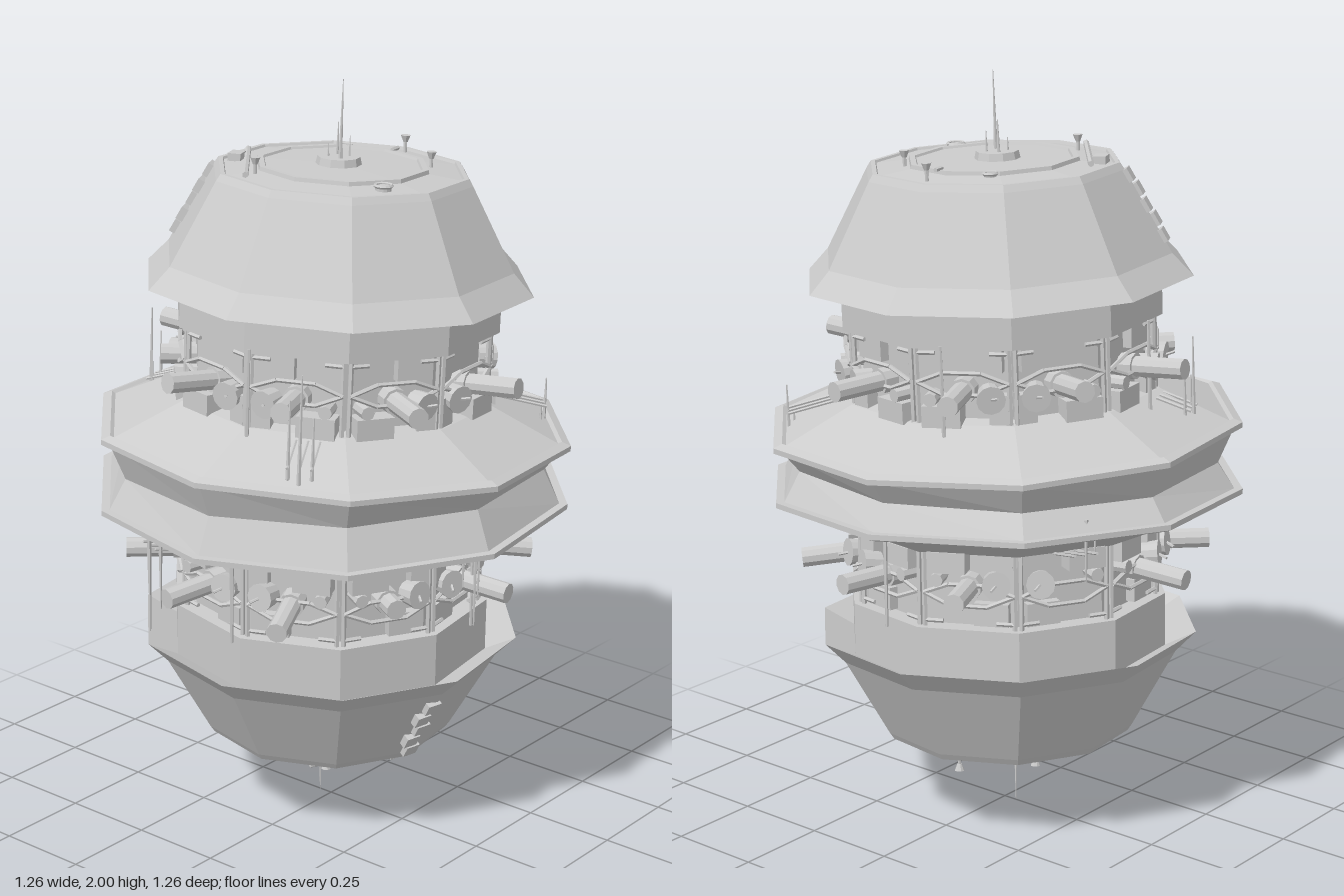
import * as THREE from 'three';

const mat = new THREE.MeshStandardMaterial({ color: 0xcccccc, flatShading: true, side: THREE.DoubleSide });
const RAD = Math.PI / 180, SIDES = 10, CORNER = -7.4;
const HALF_TILT = new THREE.Euler(0.026, 0, -0.027);

function add(parent, name, geo, x = 0, y = 0, z = 0) {
  const m = new THREE.Mesh(geo, mat);
  m.name = name;
  m.position.set(x, y, z);
  parent.add(m);
  return m;
}
const box = (w, h, d) => new THREE.BoxGeometry(w, h, d);
const cyl = (r1, r2, h, n = 10) => new THREE.CylinderGeometry(r1, r2, h, n);

// Ten-sided shell turned from [radius, height] points, listed bottom to top
const shell = (pts) => new THREE.LatheGeometry(
  pts.map(([r, y]) => new THREE.Vector2(r, y)), SIDES, (90 - CORNER) * RAD);

// Straight bar between two points
function bar(parent, name, a, b, r = 0.006, n = 5) {
  const p = new THREE.Vector3(...a), q = new THREE.Vector3(...b);
  const m = add(parent, name, cyl(r, r, p.distanceTo(q), n));
  m.position.copy(p).add(q).multiplyScalar(0.5);
  m.quaternion.setFromUnitVectors(new THREE.Vector3(0, 1, 0), q.sub(p).normalize());
  return m;
}

// Group whose +z points outward at the given compass angle (from +x toward +z)
function sector(parent, name, deg) {
  const g = new THREE.Group();
  g.name = name;
  g.rotation.y = (90 - deg) * RAD;
  parent.add(g);
  return g;
}

function addHull(half) {
  add(half, 'coreWall', shell([[0.38, 0.15], [0.38, 0.4]]));
  add(half, 'upperBand', shell([[0.37, 0.375], [0.432, 0.375], [0.432, 0.53]]));
  add(half, 'domeCap', shell([[0.42, 0.525], [0.515, 0.477], [0.46, 0.535], [0.342, 0.75],
    [0.33, 0.768], [0.318, 0.768], [0.315, 0.762], [0.225, 0.772]]));
  add(half, 'topPlate', shell([[0.228, 0.768], [0.225, 0.782], [0.21, 0.782], [0.207, 0.776], [0, 0.778]]));
  add(half, 'ringDeck', shell([[0.60, 0.078], [0.636, 0.078], [0.636, 0.092], [0.612, 0.101],
    [0.602, 0.095], [0.42, 0.178], [0.37, 0.188]]));

  // Skirt under the ring: its lower edge stays level so both halves meet
  const skirt = shell([[0.57, 0], [0.615, 0.08]]);
  const level = new THREE.Quaternion().setFromEuler(HALF_TILT).invert();
  const pos = skirt.attributes.position, v = new THREE.Vector3();
  for (let i = 0; i < pos.count; i++) {
    v.fromBufferAttribute(pos, i);
    if (v.y < 0.01) v.applyQuaternion(level);
    pos.setXYZ(i, v.x, v.y, v.z);
  }
  add(half, 'waistSkirt', skirt);
}

function addEquipment(half) {
  for (let i = 0; i < SIDES; i++) {
    const s = sector(half, 'equipmentBay', CORNER + 18 + i * 36);
    const side = i % 2 ? 1 : -1;

    // Frame posts and diamond handrails
    for (const e of [-1, 1]) {
      bar(s, 'framePost', [e * 0.118, 0.17, 0.39], [e * 0.118, 0.385, 0.39], 0.007);
      bar(s, 'cornerBracket', [e * 0.118, 0.36, 0.39], [e * 0.07, 0.36, 0.39], 0.006);
      for (const k of [-1, 1]) {
        bar(s, 'handrail', [e * 0.118, 0.285, 0.395], [e * 0.05, 0.285 + k * 0.028, 0.405]);
      }
    }
    for (const k of [-1, 1]) {
      bar(s, 'handrail', [-0.05, 0.285 + k * 0.028, 0.405], [0.05, 0.285 + k * 0.028, 0.405]);
    }

    // Wall panels and pedestal lockers
    add(s, 'wallPanel', box(0.09, 0.06, 0.03), side * 0.055, 0.34, 0.372);
    add(s, 'locker', box(0.1, 0.055, 0.06), -side * 0.055, 0.2, 0.385);
    add(s, 'smallLocker', box(0.05, 0.08, 0.04), side * 0.09, 0.215, 0.375);

    // Long telescope drum, missing on one bay and shorter on another
    if (i !== 1) {
      const reach = i === 6 ? 0.1 : 0.19;
      const t = new THREE.Group();
      t.name = 'telescope';
      t.position.set(0, 0.265, 0.355);
      t.rotation.x = -(i % 3) * 0.05;
      s.add(t);
      add(t, 'telescopeBarrel', cyl(0.027, 0.027, reach), 0, 0, reach / 2).rotation.x = Math.PI / 2;
      add(t, 'telescopeCollar', cyl(0.034, 0.034, 0.04), 0, 0, 0.03).rotation.x = Math.PI / 2;
    }

    // Round instrument with a needle
    const d = new THREE.Group();
    d.name = 'dish';
    d.position.set(side * 0.07, 0.252, 0.4);
    d.rotation.set(0.1, side * 0.35, 0);
    s.add(d);
    add(d, 'dishDrum', cyl(0.037, 0.03, 0.05, 12)).rotation.x = Math.PI / 2;
    bar(d, 'dishNeedle', [0, 0, 0.02], [0.015, 0.01, 0.045], 0.004);
    add(s, 'sensor', cyl(0.018, 0.018, 0.06, 8), -side * 0.08, 0.245, 0.39).rotation.x = Math.PI / 2;
  }
}

function addMasts(half) {
  // Clusters of whip masts: angle, radius, bottom, top
  for (const [deg, r, y0, y1] of [[45, 0.565, 0.05, 0.21], [149, 0.56, 0.1, 0.38], [250, 0.52, 0.08, 0.33]]) {
    const s = sector(half, 'mastCluster', deg);
    for (let k = -1; k <= 1; k++) {
      const top = y1 - Math.abs(k) * 0.07 - (k > 0 ? 0.04 : 0);
      add(s, 'whipMast', cyl(0.002, 0.006, top - y0, 5), k * 0.03, (top + y0) / 2, r - Math.abs(k) * 0.015);
      bar(s, 'mastArm', [k * 0.03, 0.14, r], [k * 0.03, 0.17, 0.43], 0.004);
    }
  }
  // Tall side rods beside the frame
  for (const deg of [-20, 170, 262]) {
    const s = sector(half, 'sideRod', deg);
    add(s, 'rod', cyl(0.004, 0.006, 0.24, 5), 0, 0.27, 0.44);
  }
}

function addRoofFittings(half) {
  add(half, 'hub', cyl(0.055, 0.06, 0.022), -0.003, 0.786, -0.01);
  for (const [x, z, top, r] of [[-0.022, 0.01, 1.0, 0.006], [0.015, -0.03, 0.88, 0.005],
    [0.02, 0.006, 0.85, 0.004], [-0.022, -0.03, 0.83, 0.004]]) {
    add(half, 'antenna', cyl(0.001, r, top - 0.78, 6), x, (top + 0.78) / 2, z);
  }
  bar(half, 'roofRail', [-0.285, 0.778, -0.08], [-0.045, 0.778, -0.28], 0.008, 6);
  const hatch = add(half, 'roofBox', box(0.045, 0.02, 0.035), -0.125, 0.775, -0.25);
  hatch.rotation.y = 0.4;

  // Funnel lamps
  for (const [x, z] of [[-0.225, -0.1], [0.28, -0.015], [0.17, 0.155]]) {
    add(half, 'lampStem', cyl(0.005, 0.005, 0.03, 6), x, 0.78, z);
    add(half, 'lampFunnel', cyl(0.013, 0.006, 0.018, 8), x, 0.802, z);
  }
  // Round ports
  for (const [x, z, r] of [[-0.115, 0.225, 0.021], [0.178, -0.135, 0.016]]) {
    add(half, 'portRing', new THREE.TorusGeometry(r, 0.005, 5, 14), x, 0.778, z).rotation.x = Math.PI / 2;
    add(half, 'port', cyl(r, r, 0.012, 14), x, 0.772, z);
  }
  bar(half, 'roofPeg', [0.205, 0.785, 0], [0.235, 0.785, -0.005], 0.006);

  // Steps climbing the cap beside one corner
  const s = sector(half, 'steps', 242);
  for (let i = 0; i < 5; i++) {
    const t = 0.03 + i * 0.19;
    const step = add(s, 'step', box(0.042, 0.036, 0.022), (i % 2 ? 1 : -1) * 0.008, 0.74 - t * 0.205, 0.344 + t * 0.112);
    step.rotation.x = -0.5;
  }
}

export function createModel() {
  const root = new THREE.Group();
  root.name = 'station';

  const half = new THREE.Group();
  half.name = 'upperHalf';
  half.rotation.copy(HALF_TILT);
  addHull(half);
  addEquipment(half);
  addMasts(half);
  addRoofFittings(half);

  // The lower half is the upper half turned over about a corner axis
  const body = new THREE.Group();
  body.name = 'body';
  body.position.y = 1;
  const lower = new THREE.Group();
  lower.name = 'lowerHalf';
  const axis = new THREE.Vector3(Math.cos(CORNER * RAD), 0, Math.sin(CORNER * RAD));
  lower.quaternion.setFromAxisAngle(axis, Math.PI);
  lower.add(half.clone());
  body.add(half, lower);
  root.add(body);
  return root;
}
